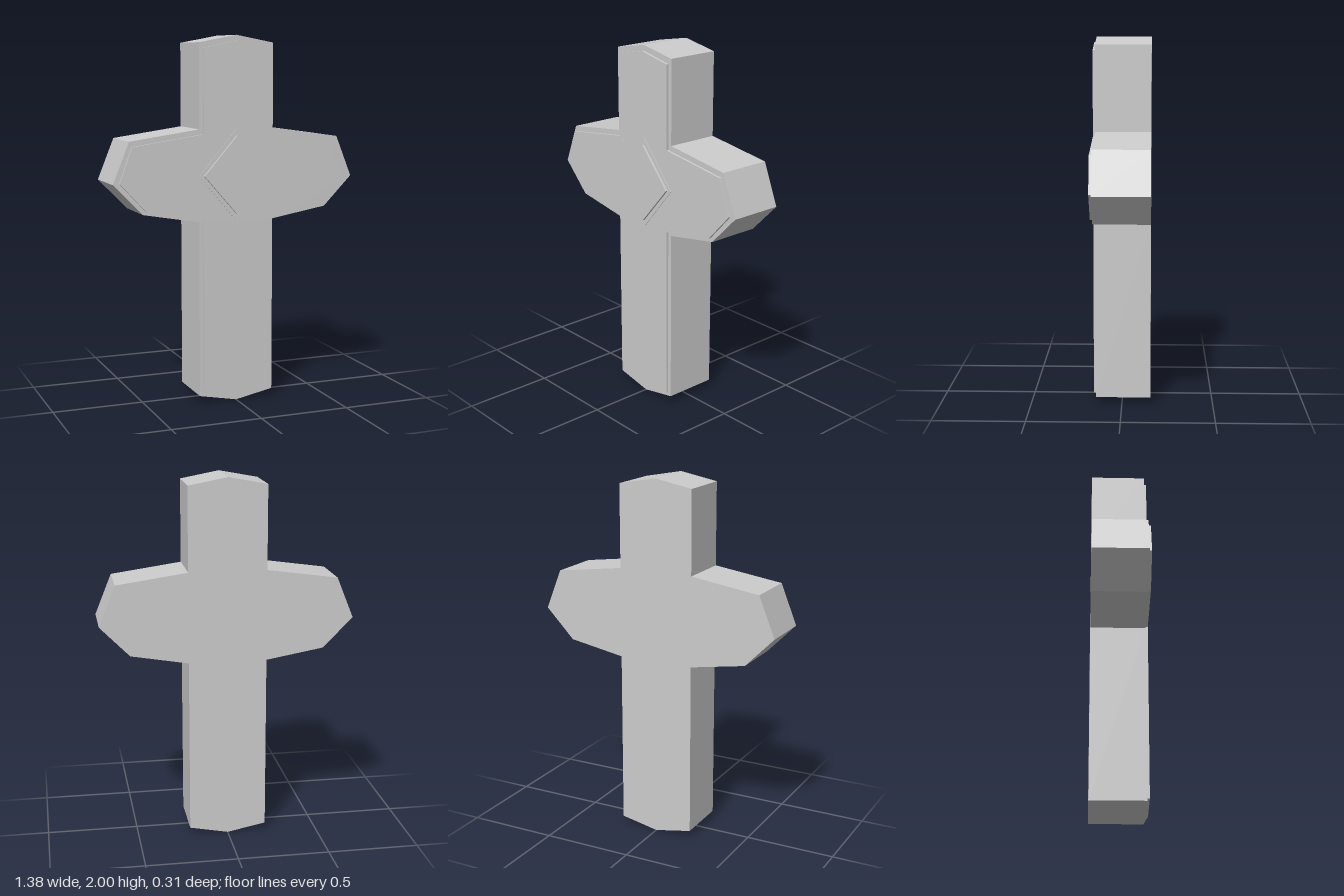
import * as THREE from 'three';

// Closed outline from its +x half, listed from the top point to the bottom point
const outline = half => [...half, ...half.slice(1, -1).reverse().map(([x, y]) => [-x, y])]
  .map(([x, y]) => new THREE.Vector2(x, y));

export function createModel() {
  const group = new THREE.Group();
  const material = new THREE.MeshStandardMaterial({ color: 0xcccccc, flatShading: true });

  // Flat plate between two depths, with an optional opening
  function plate(name, half, zBack, zFront, opening) {
    const shape = new THREE.Shape(outline(half));
    if (opening) shape.holes.push(new THREE.Path(outline(opening)));
    const geometry = new THREE.ExtrudeGeometry(shape, { depth: zFront - zBack, bevelEnabled: false });
    geometry.translate(0, 0, zBack);
    const mesh = new THREE.Mesh(geometry, material);
    mesh.name = name;
    group.add(mesh);
  }

  const diamond = (w, h) => [[0, 1.253 + h], [w, 1.253], [0, 1.253 - h]];

  // Thick cross with pointed ends
  plate('crossBody', [
    [0, 2], [0.213, 1.96], [0.213, 1.503], [0.6, 1.448], [0.69, 1.225],
    [0.528, 1.06], [0.213, 1.005], [0.213, 0.042], [0, 0],
  ], -0.157, 0.141);

  // Thin raised rim following the cross outline
  plate('borderTrim', [
    [0, 1.97], [0.191, 1.93], [0.191, 1.477], [0.587, 1.42], [0.656, 1.23],
    [0.517, 1.08], [0.191, 1.024], [0.191, 0.06], [0, 0.022],
  ], 0.135, 0.154, [
    [0, 1.942], [0.173, 1.902], [0.173, 1.456], [0.558, 1.392], [0.623, 1.235],
    [0.5, 1.097], [0.173, 1.04], [0.173, 0.078], [0, 0.042],
  ]);

  // Diamond in the middle, on a shallow base
  plate('diamondBase', diamond(0.213, 0.25), 0.135, 0.144);
  plate('diamondInset', diamond(0.188, 0.213), 0.135, 0.157);

  return group;
}
